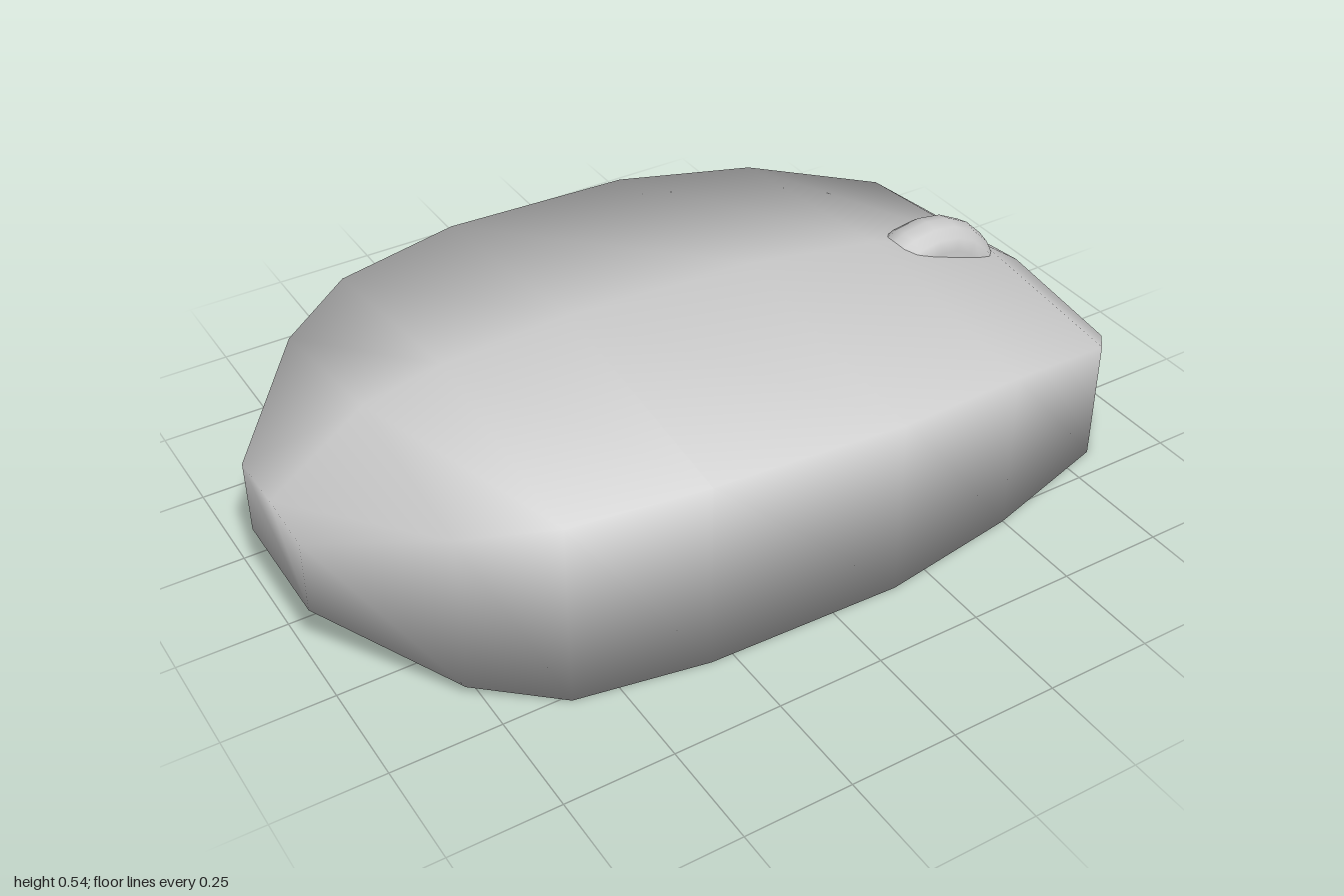
import * as THREE from 'three';

const grey = new THREE.MeshStandardMaterial({ color: 0xcccccc });

// Cross-sections from tail to nose: x, bottom y, shoulder y, ridge y, half width
const SECTIONS = [
  [-1.0, 0.155, 0.33, 0.335, 0.15],
  [-0.78, 0.035, 0.42, 0.49, 0.4],
  [-0.6, 0, 0.45, 0.525, 0.515],
  [-0.3, 0, 0.462, 0.54, 0.57],
  [0.16, 0, 0.44, 0.515, 0.583],
  [0.5, 0, 0.397, 0.46, 0.53],
  [0.83, 0, 0.3, 0.345, 0.435],
  [0.94, 0, 0.225, 0.265, 0.32],
  [1.0, 0.03, 0.09, 0.1, 0.21],
];

// Shell lofted through five-sided sections, with shared vertices for smooth shading
function createShell() {
  const positions = [];
  const index = [];
  const n = 5;
  for (const [x, bottom, shoulder, ridge, w] of SECTIONS) {
    positions.push(x, bottom, w, x, bottom, -w, x, shoulder, -w, x, ridge, 0, x, shoulder, w);
  }
  const last = SECTIONS.length - 1;
  for (let i = 0; i < last; i++) {
    for (let j = 0; j < n; j++) {
      const a = i * n + j;
      const b = i * n + (j + 1) % n;
      index.push(a, b, b + n, a, b + n, a + n);
    }
  }
  // End caps
  for (let j = 1; j < n - 1; j++) {
    index.push(0, j + 1, j);
    index.push(last * n, last * n + j, last * n + j + 1);
  }
  const geometry = new THREE.BufferGeometry();
  geometry.setAttribute('position', new THREE.Float32BufferAttribute(positions, 3));
  geometry.setIndex(index);
  geometry.computeVertexNormals();
  const mesh = new THREE.Mesh(geometry, grey);
  mesh.name = 'shell';
  return mesh;
}

// Round-edged wheel, mostly sunk into the shell
function createScrollWheel() {
  const profile = [
    [0, -0.063], [0.15, -0.063], [0.18, -0.055], [0.198, -0.032], [0.205, 0],
    [0.198, 0.032], [0.18, 0.055], [0.15, 0.063], [0, 0.063],
  ].map(([r, y]) => new THREE.Vector2(r, y));
  const geometry = new THREE.LatheGeometry(profile, 20);
  geometry.rotateX(Math.PI / 2);
  const mesh = new THREE.Mesh(geometry, grey);
  mesh.position.set(0.65, 0.26, 0);
  mesh.name = 'scrollWheel';
  return mesh;
}

export function createModel() {
  const group = new THREE.Group();
  group.name = 'computerMouse';
  group.add(createShell(), createScrollWheel());
  return group;
}
